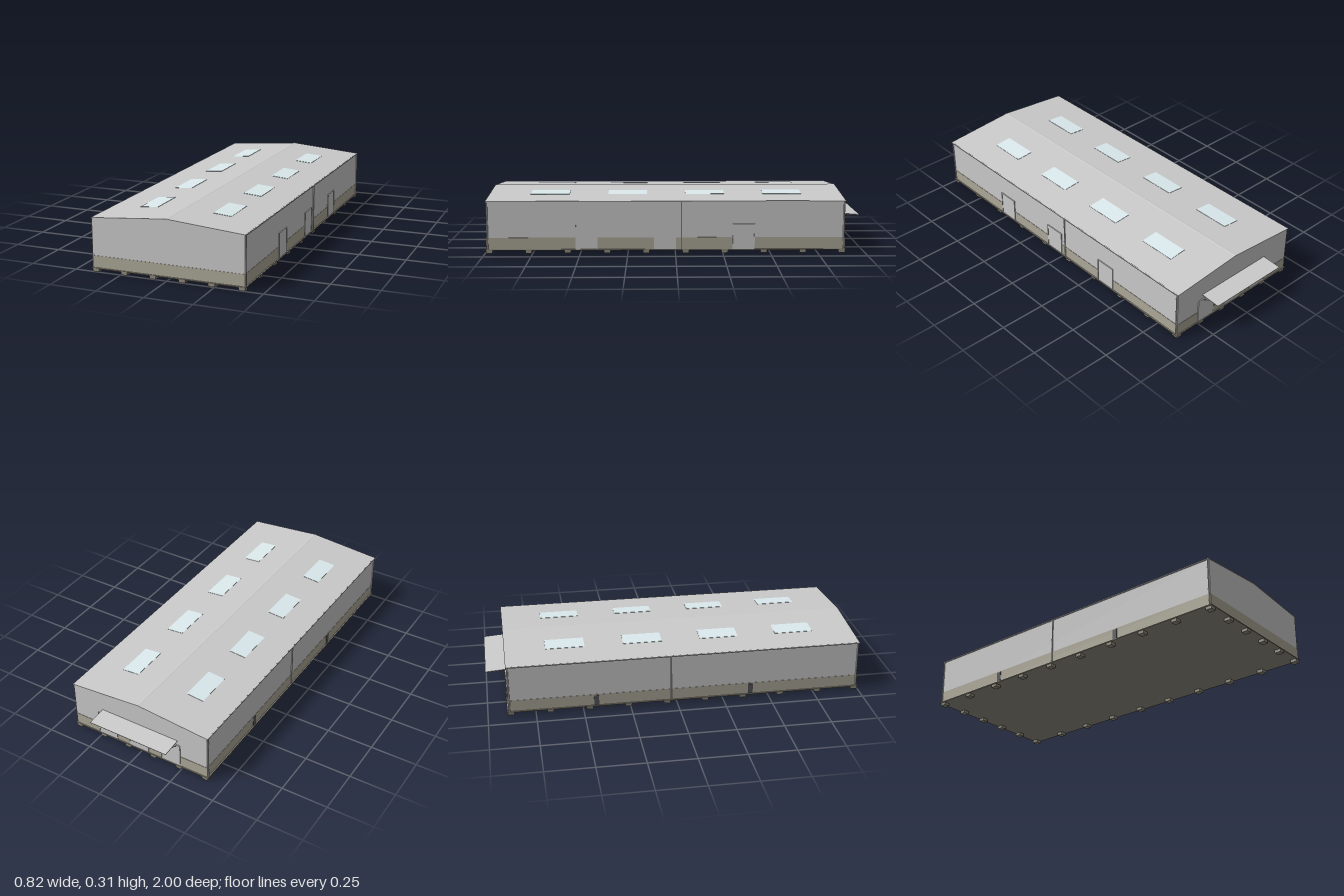
import * as THREE from 'three';

const mat = (color) => new THREE.MeshStandardMaterial({ color });
const grey = mat(0xcccccc);
const plinthMat = mat(0xaea99a);
const footMat = mat(0x918c7e);
const glassMat = mat(0xdcebee);
const darkMat = mat(0x55555a);

const W = 0.403, FRONT = 0.993, BACK = -0.893;   // wall planes
const MID = (FRONT + BACK) / 2, LEN = FRONT - BACK;
const EAVE = 0.274, RIDGE = 0.308, BASE = 0.02;
const SLOPE = Math.atan2(RIDGE - EAVE, W);
const roofY = (x) => RIDGE - (Math.abs(x) / W) * (RIDGE - EAVE);

export function createModel() {
  const model = new THREE.Group();

  const add = (name, geometry, material, x = 0, y = 0, z = 0, parent = model) => {
    const mesh = new THREE.Mesh(geometry, material);
    mesh.name = name;
    mesh.position.set(x, y, z);
    parent.add(mesh);
    return mesh;
  };
  const box = (name, w, h, d, material, x, y, z, parent) =>
    add(name, new THREE.BoxGeometry(w, h, d), material, x, y, z, parent);
  const extrude = (name, points, z0, depth, material) => {
    const shape = new THREE.Shape(points.map(([x, y]) => new THREE.Vector2(x, y)));
    return add(name, new THREE.ExtrudeGeometry(shape, { depth, bevelEnabled: false }), material, 0, 0, z0);
  };

  // Gabled hall
  extrude('walls', [[-W, BASE], [W, BASE], [W, EAVE], [0, RIDGE], [-W, EAVE]], BACK, LEN, grey);
  box('plinthBand', 2 * W + 0.003, 0.063, LEN + 0.003, plinthMat, 0, BASE + 0.0315, MID);
  box('floorSlab', 2 * W + 0.016, 0.005, LEN + 0.014, footMat, 0, 0.0185, MID);

  // Thin roof sheet and ridge cap
  const R = W + 0.003;
  extrude('roof', [[-R, EAVE], [0, RIDGE], [R, EAVE], [R, EAVE + 0.003], [0, RIDGE + 0.003], [-R, EAVE + 0.003]],
    BACK - 0.003, LEN + 0.006, grey);
  extrude('ridgeCap', [[-0.01, RIDGE + 0.002], [0.01, RIDGE + 0.002], [0, RIDGE + 0.004]],
    BACK - 0.003, LEN + 0.006, grey);

  // Skylights lying on both roof slopes
  for (const side of [-1, 1]) {
    for (let i = 0; i < 4; i++) {
      const x = side * 0.198;
      const light = box('skylight', 0.097, 0.003, 0.208, glassMat, x, roofY(x) + 0.0032, -0.575 + i * 0.415);
      light.rotation.z = -side * SLOPE;
    }
  }

  // Gutters and downpipes along the eaves
  for (const side of [-1, 1]) {
    box('gutter', 0.006, 0.005, LEN + 0.006, grey, side * (W + 0.004), EAVE, MID);
    for (const z of [FRONT - 0.006, -0.032, BACK + 0.006]) {
      add('downpipe', new THREE.CylinderGeometry(0.0035, 0.0035, EAVE - BASE, 8), grey,
        side * (W + 0.0035), (EAVE + BASE) / 2, z);
    }
  }

  // Foundation pads around the perimeter
  const pad = (x, z) => box('foundationPad', 0.034, 0.017, 0.034, footMat, x, 0.0085, z);
  for (let i = 0; i < 10; i++) {
    const z = 0.98 - i * (1.86 / 9);
    for (let j = 0; j < 6; j++) {
      if (i === 0 || i === 9 || j === 0 || j === 5) pad(-0.389 + j * 0.1556, z);
    }
  }

  // Door built facing +z: leaf with a slim raised frame
  const door = (name, x, z, turn) => {
    const g = new THREE.Group();
    const w = 0.116, h = 0.135, t = 0.003;
    g.name = name;
    box('doorLeaf', w, h, 0.004, grey, 0, h / 2, 0, g);
    for (const s of [-1, 1]) box('doorJamb', t, h, 0.008, grey, s * (w - t) / 2, h / 2, 0, g);
    box('doorHead', w, t, 0.008, grey, 0, h - t / 2, 0, g);
    g.position.set(x, BASE, z);
    g.rotation.y = turn;
    model.add(g);
  };
  for (const z of [0.468, 0.055, -0.36]) door('sideDoor', W + 0.001, z, Math.PI / 2);
  for (const x of [0.2, 0.007, -0.187]) door('backDoor', x, BACK - 0.001, Math.PI);

  // Small dark hatches low on the left-hand blank wall
  for (const z of [0.4, -0.43]) box('hatch', 0.006, 0.055, 0.026, darkMat, -W - 0.001, BASE + 0.03, z);

  // Canopy over the back doors: sloping sheet, rails, brackets and braces
  const canopy = new THREE.Group();
  canopy.name = 'canopy';
  model.add(canopy);
  const depth = 0.107, drop = 0.008, top = 0.181;
  const tilt = -Math.atan2(drop, depth);
  const midZ = BACK - depth / 2, midY = top - drop / 2;
  box('canopySheet', 0.46, 0.003, depth, grey, 0, midY, midZ, canopy).rotation.x = tilt;
  box('canopyRail', 0.45, 0.004, 0.004, grey, 0, top - drop - 0.002, BACK - depth + 0.008, canopy);
  box('canopyRail', 0.45, 0.004, 0.004, grey, 0, top - 0.003, BACK - 0.003, canopy);
  for (let i = 0; i < 5; i++) {
    const x = -0.22 + i * 0.11;
    box('canopyBeam', 0.004, 0.004, depth - 0.01, grey, x, midY - 0.003, midZ, canopy).rotation.x = tilt;
    const brace = new THREE.LineCurve3(
      new THREE.Vector3(x, 0.145, BACK), new THREE.Vector3(x, top - 0.008, BACK - 0.06));
    add('canopyBrace', new THREE.TubeGeometry(brace, 1, 0.002, 6), grey, 0, 0, 0, canopy);
  }

  return model;
}
